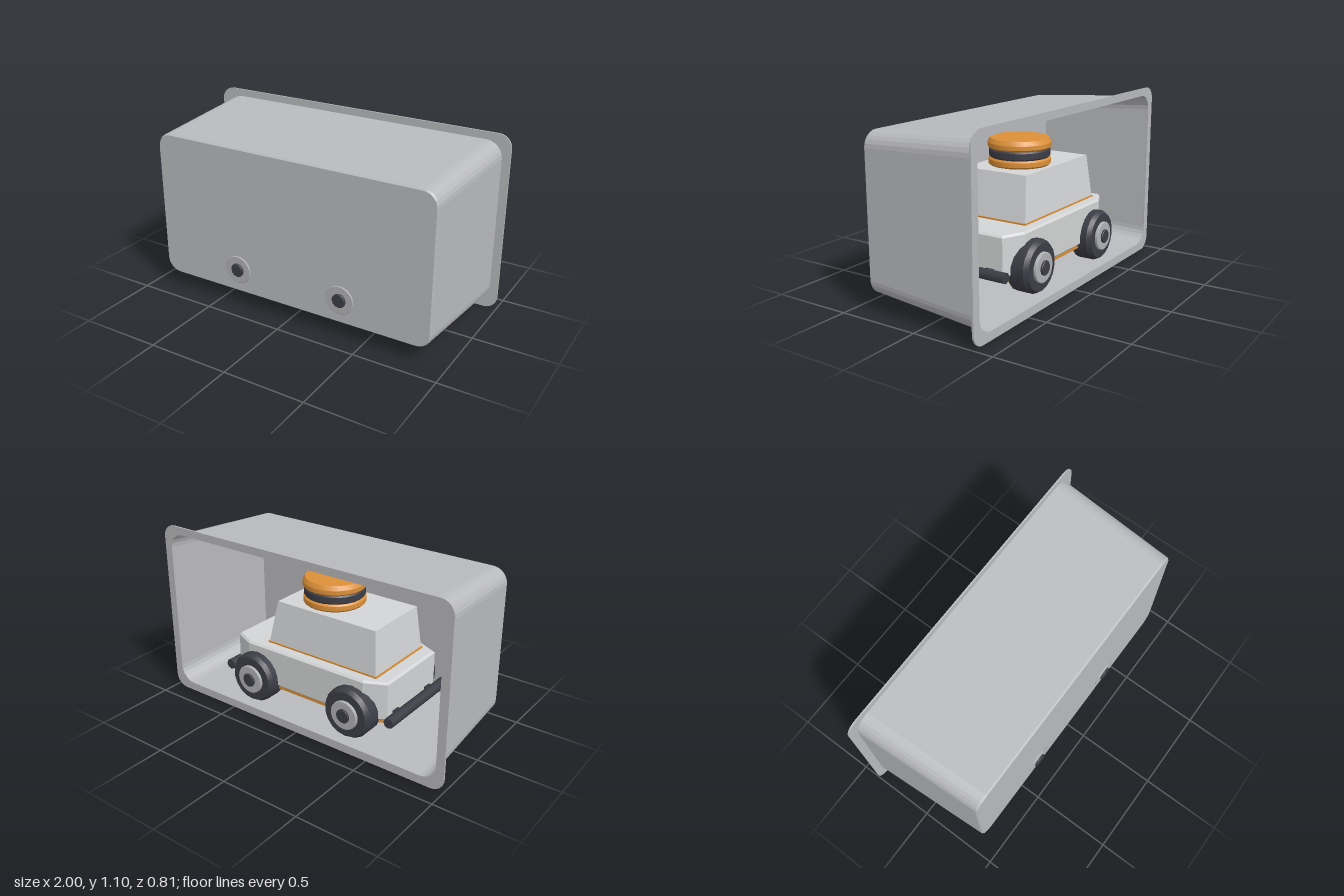
import * as THREE from 'three';
import { toCreasedNormals } from 'three/addons/utils/BufferGeometryUtils.js';

const mat = (name, color, extra = {}) => {
  const m = new THREE.MeshStandardMaterial({ color, ...extra });
  m.name = name;
  return m;
};

// Counter-clockwise corner points of a rounded rectangle
function roundedRect(hx, y0, y1, r, seg = 6) {
  const centres = [[hx - r, y1 - r], [r - hx, y1 - r], [r - hx, y0 + r], [hx - r, y0 + r]];
  const pts = [];
  centres.forEach(([cx, cy], q) => {
    for (let i = 0; i <= seg; i++) {
      const a = (q + i / seg) * Math.PI / 2;
      pts.push(new THREE.Vector2(cx + r * Math.cos(a), cy + r * Math.sin(a)));
    }
  });
  return pts;
}

// Skin over rings of equal point count, closed by a flat cap on the last ring
function loftWithCap(rings) {
  const pos = [], index = [], n = rings[0].pts.length;
  rings.forEach(({ pts, z }) => pts.forEach(p => pos.push(p.x, p.y, z)));
  for (let k = 0; k < rings.length - 1; k++) {
    for (let i = 0; i < n; i++) {
      const a = k * n + i, b = k * n + (i + 1) % n;
      index.push(a, b, b + n, a, b + n, a + n);
    }
  }
  const last = (rings.length - 1) * n;
  for (let i = 1; i < n - 1; i++) index.push(last, last + i, last + i + 1);
  const g = new THREE.BufferGeometry();
  g.setAttribute('position', new THREE.Float32BufferAttribute(pos, 3));
  g.setIndex(index);
  g.computeVertexNormals();
  return toCreasedNormals(g, 0.1);
}

const lathe = (profile, seg, crease = 0.5) =>
  toCreasedNormals(new THREE.LatheGeometry(profile.map(p => new THREE.Vector2(...p)), seg), crease);

export function createModel() {
  const trayGrey = mat('tray grey', 0xb9babe, { side: THREE.DoubleSide });
  const bodyGrey = mat('body light grey', 0xd3d5d6);
  const hubGrey = mat('hub grey', 0xb2b3b6);
  const dark = mat('dark rubber', 0x3d3d47);
  const orange = mat('orange', 0xdc9038);

  const model = new THREE.Group();
  const add = (name, geo, material, parent = model) => {
    const m = new THREE.Mesh(geo, material);
    m.name = name;
    parent.add(m);
    return m;
  };

  // Tapered tray, open at the back
  add('tray', loftWithCap([
    { pts: roundedRect(0.95, 0.05, 1.055, 0.1), z: -0.38 },
    { pts: roundedRect(0.908, 0.095, 1.01, 0.09), z: 0.375 },
    { pts: roundedRect(0.9, 0.103, 1.002, 0.082), z: 0.385 },
  ]), trayGrey);

  // Flat rim around the opening
  const rim = new THREE.Shape(roundedRect(1, 0, 1.1, 0.08));
  rim.holes.push(new THREE.Path(roundedRect(0.948, 0.052, 1.053, 0.098).reverse()));
  add('trayRim', new THREE.ExtrudeGeometry(rim, { depth: 0.01, bevelEnabled: false }), trayGrey)
    .position.z = -0.386;

  const car = new THREE.Group();
  car.name = 'car';
  model.add(car);

  // Plan outline with cut corners, extruded upwards
  const slab = (ex, cx, w, cw, y0, y1, bevel) => {
    const s = new THREE.Shape([
      [ex, -cw], [ex, cw], [cx, w], [-cx, w], [-ex, cw], [-ex, -cw], [-cx, -w], [cx, -w],
    ].map(([x, z]) => new THREE.Vector2(x, z)));
    const g = new THREE.ExtrudeGeometry(s, {
      depth: y1 - y0 - 2 * bevel, bevelEnabled: bevel > 0, bevelSize: bevel,
      bevelOffset: -bevel, bevelThickness: bevel, bevelSegments: 1,
    });
    return g.rotateX(-Math.PI / 2).translate(0, y0 + bevel, 0);
  };
  add('hull', slab(0.55, 0.42, 0.31, 0.25, 0.21, 0.45, 0.012), bodyGrey, car);
  add('chassisPlate', slab(0.54, 0.41, 0.29, 0.23, 0.185, 0.212, 0), orange, car);
  add('chassis', new THREE.BoxGeometry(0.9, 0.05, 0.34).translate(0, 0.165, 0), dark, car);
  add('cabinTrim', new THREE.BoxGeometry(0.785, 0.012, 0.49).translate(-0.075, 0.453, 0), orange, car);

  // Cabin narrowing towards the roof
  const cabin = new THREE.BoxGeometry(1, 1, 1);
  const p = cabin.attributes.position;
  for (let i = 0; i < p.count; i++) {
    const top = p.getY(i) > 0;
    const x = p.getX(i) > 0 ? (top ? 0.26 : 0.31) : (top ? -0.435 : -0.46);
    p.setXYZ(i, x, top ? 0.72 : 0.455, Math.sign(p.getZ(i)) * (top ? 0.212 : 0.24));
  }
  cabin.computeVertexNormals();
  add('cabin', cabin, bodyGrey, car);

  // Round roof light: base, band and cap
  add('lightBase', lathe([[0, 0.72], [0.178, 0.72], [0.187, 0.73], [0.187, 0.757], [0.178, 0.767], [0, 0.767]], 24), orange, car);
  add('lightBand', lathe([[0.17, 0.76], [0.182, 0.775], [0.182, 0.81], [0.17, 0.825]], 24), dark, car);
  add('lightCap', lathe([[0, 0.82], [0.18, 0.82], [0.19, 0.83], [0.19, 0.855], [0.175, 0.88], [0, 0.885]], 24), orange, car);

  // Bumper bar with two brackets at each end
  for (const s of [-1, 1]) {
    const bar = new THREE.CylinderGeometry(0.032, 0.032, 0.6, 8).rotateX(Math.PI / 2);
    add('bumper', bar.translate(s * 0.59, 0.235, 0), dark, car);
    for (const z of [-0.17, 0.17]) {
      add('bumperBracket', new THREE.BoxGeometry(0.08, 0.04, 0.05).translate(s * 0.55, 0.235, z), dark, car);
    }
  }

  // Axles and wheels
  const tyre = lathe([[0, 0.23], [0.135, 0.23], [0.155, 0.25], [0.155, 0.35], [0.138, 0.376], [0, 0.376]], 18, 0.4);
  const hub = lathe([[0.088, 0.37], [0.088, 0.39], [0.084, 0.393], [0, 0.393]], 24);
  const cap = lathe([[0.043, 0.39], [0.043, 0.401], [0.039, 0.405], [0, 0.405]], 12);
  for (const x of [-0.35, 0.35]) {
    add('axle', new THREE.CylinderGeometry(0.03, 0.03, 0.5, 10).rotateX(Math.PI / 2).translate(x, 0.243, 0), dark, car);
    for (const s of [-1, 1]) {
      const wheel = new THREE.Group();
      wheel.name = 'wheel';
      wheel.position.set(x, 0.243, 0);
      wheel.rotation.x = s * Math.PI / 2;
      add('tyre', tyre, dark, wheel);
      add('hub', hub, hubGrey, wheel);
      add('hubCap', cap, dark, wheel);
      car.add(wheel);
    }
  }
  return model;
}
